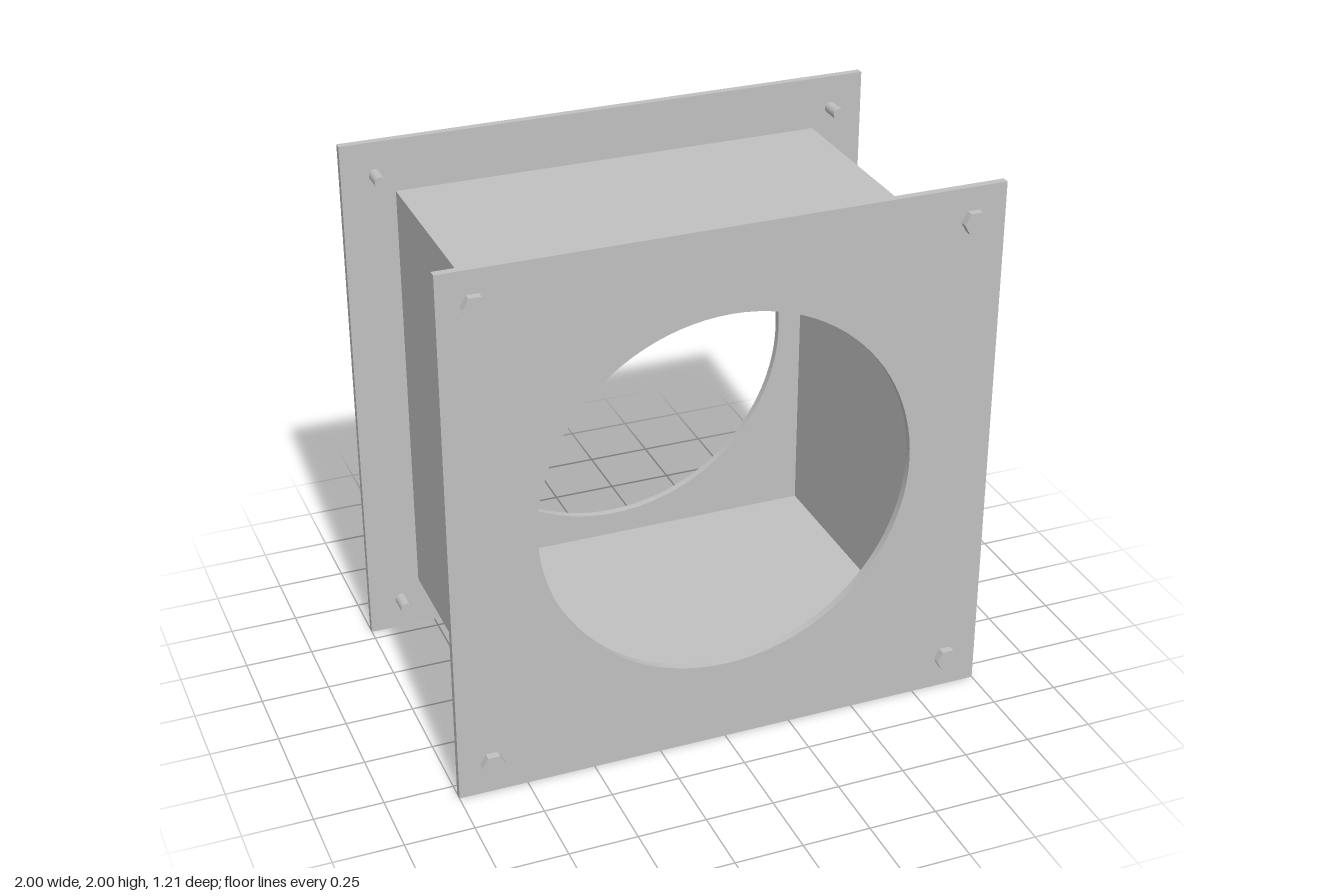
import * as THREE from 'three';
import { toCreasedNormals } from 'three/addons/utils/BufferGeometryUtils.js';

const CENTER_Y = 1;
const PLATE_IN = 0.547, PLATE_OUT = 0.575;
const DUCT = 0.805, WALL = 0.027;
const BOLT = 0.877;

function square(half, Type = THREE.Shape) {
  return new Type([[-1, -1], [1, -1], [1, 1], [-1, 1]].map(
    ([x, y]) => new THREE.Vector2(x * half, y * half)));
}

// Plate or tube with an opening, extruded along z
function extruded(outer, hole, depth) {
  outer.holes.push(hole);
  const g = new THREE.ExtrudeGeometry(outer, { depth, bevelEnabled: false, curveSegments: 48 });
  return toCreasedNormals(g, 0.5);
}

export function createModel() {
  const model = new THREE.Group();
  model.name = 'flangedDuct';
  const steel = new THREE.MeshStandardMaterial({ color: 0xc0c0c0 });
  steel.name = 'grey steel';

  const add = (parent, name, geometry, x = 0, y = 0, z = 0) => {
    const mesh = new THREE.Mesh(geometry, steel);
    mesh.name = name;
    mesh.position.set(x, y, z);
    parent.add(mesh);
  };

  // Square hollow duct between the flanges
  const duct = extruded(square(DUCT), square(DUCT - WALL, THREE.Path), 2 * PLATE_IN);
  add(model, 'ductBody', duct, 0, CENTER_Y, -PLATE_IN);

  // Flange plate with a round opening
  const opening = new THREE.Path().absarc(0, 0, 0.6875, 0, Math.PI * 2, true);
  const plate = extruded(square(1), opening, PLATE_OUT - PLATE_IN);

  // Hexagonal bolt head and round shank, lying along z
  let head = new THREE.CylinderGeometry(0.0435, 0.0435, 0.028, 6, 1, false, Math.PI / 2);
  head = head.rotateX(Math.PI / 2).toNonIndexed();
  head.computeVertexNormals();
  const shankLength = PLATE_OUT - 0.47;
  const shank = new THREE.CylinderGeometry(0.022, 0.022, shankLength, 24).rotateX(Math.PI / 2);

  // The same flange with four bolts at each end
  for (const [name, turn] of [['frontFlange', 0], ['backFlange', Math.PI]]) {
    const flange = new THREE.Group();
    flange.name = name;
    flange.position.y = CENTER_Y;
    flange.rotation.y = turn;
    add(flange, 'flangePlate', plate, 0, 0, PLATE_IN);
    for (const x of [-BOLT, BOLT]) {
      for (const y of [-BOLT, BOLT]) {
        add(flange, 'boltHead', head, x, y, PLATE_OUT + 0.014);
        add(flange, 'boltShank', shank, x, y, PLATE_OUT - shankLength / 2);
      }
    }
    model.add(flange);
  }
  return model;
}
